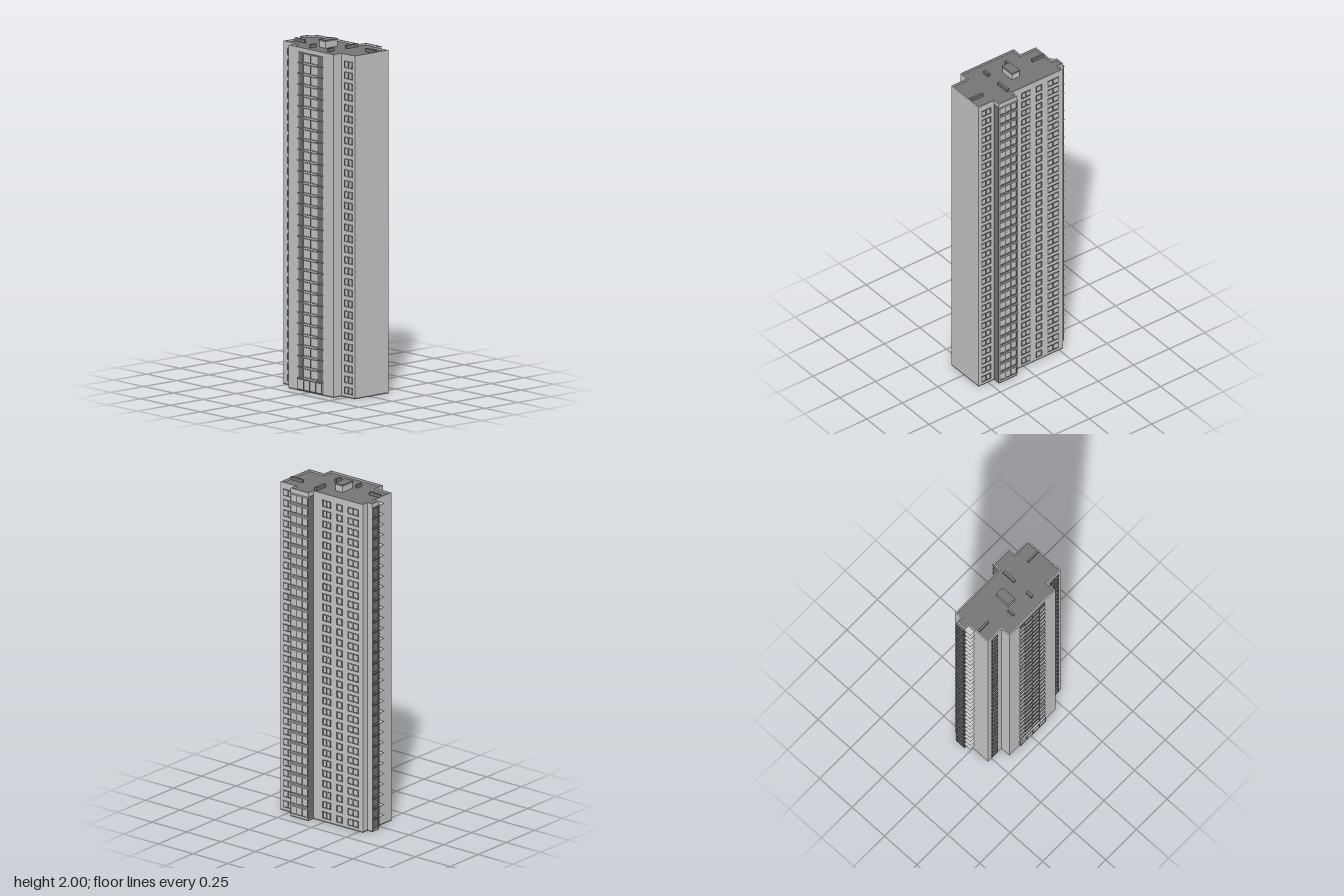
import * as THREE from 'three';
import { mergeGeometries } from 'three/addons/utils/BufferGeometryUtils.js';

const PITCH = 0.0622, ROOF = 1.955, TOP = 1.965;

export function createModel() {
  const group = new THREE.Group();
  const light = new THREE.MeshStandardMaterial({ color: 0xcccccc });
  const dark = new THREE.MeshStandardMaterial({ color: 0x777777 });

  const add = (name, geometries, material) => {
    const mesh = new THREE.Mesh(mergeGeometries(geometries), material);
    mesh.name = name;
    group.add(mesh);
  };
  // box given by its extents
  const box = (x0, x1, y0, y1, z0, z1) =>
    new THREE.BoxGeometry(x1 - x0, y1 - y0, z1 - z0)
      .translate((x0 + x1) / 2, (y0 + y1) / 2, (z0 + z1) / 2);
  const floors = (count, y0, make) =>
    Array.from({ length: count }, (_, i) => make(y0 + i * PITCH)).flat();

  // footprint as [x, -z], counter-clockwise
  const plan = [
    [-0.277, -0.117], [-0.168, -0.117], [-0.168, -0.178], [0.208, -0.178],
    [0.208, -0.117], [0.317, -0.117], [0.317, 0.137], [0.208, 0.137],
    [0.208, 0.183], [0.08, 0.183], [0.08, 0.137], [-0.277, 0.137],
    [-0.277, 0.095], [-0.31, 0.095], [-0.31, 0.035], [-0.277, 0.035],
  ].map(([x, y]) => new THREE.Vector2(x, y));
  // move every corner inwards along both neighbouring edges' normals
  const inset = (pts, d) => pts.map((p, i) => {
    const a = p.clone().sub(pts.at(i - 1)).normalize();
    const b = pts[(i + 1) % pts.length].clone().sub(p).normalize();
    return new THREE.Vector2(p.x - (a.y + b.y) * d, p.y + (a.x + b.x) * d);
  });
  const prism = (shape, y0, y1) =>
    new THREE.ExtrudeGeometry(shape, { depth: y1 - y0, bevelEnabled: false })
      .rotateX(-Math.PI / 2).translate(0, y0, 0);

  // plinth, tower, parapet and roof
  const inner = inset(plan, 0.007);
  const rim = new THREE.Shape(plan);
  rim.holes.push(new THREE.Path(inner));
  add('plinth', [prism(new THREE.Shape(plan), 0, 0.008)], dark);
  add('tower', [prism(new THREE.Shape(plan), 0.008, ROOF - 0.002)], light);
  add('parapet', [prism(rim, ROOF - 0.002, TOP)], light);
  add('roof', [prism(new THREE.Shape(inner), ROOF - 0.002, ROOF)], dark);

  // row of framed panes, centred, facing +z
  const frame = (width, height, panes, bar = 0.006) => {
    const w = width / 2, h = height / 2;
    const rect = (x0, x1, y0, y1, Type) => new Type([[x0, y0], [x1, y0], [x1, y1], [x0, y1]]
      .map(([x, y]) => new THREE.Vector2(x, y)));
    const shape = rect(-w, w, -h, h, THREE.Shape);
    const step = (width - bar) / panes;
    for (let i = 0; i < panes; i++) {
      const x = -w + bar + i * step;
      shape.holes.push(rect(x, x + step - bar, -h + bar, h - bar, THREE.Path));
    }
    return new THREE.ExtrudeGeometry(shape, { depth: 0.003, bevelEnabled: false });
  };
  // stack of windows between x0 and x1 on the wall at z
  const column = (x0, x1, z, panes, back, count = 31, y0 = 0.04, height = 0.042) =>
    floors(count, y0, y => {
      const g = frame(x1 - x0, height, panes);
      if (back) g.rotateY(Math.PI);
      return g.translate((x0 + x1) / 2, y, z);
    });

  add('frontWindows', [
    ...column(-0.248, -0.2, 0.117, 1, false),
    ...column(0.23, 0.298, 0.117, 2, false),
  ], dark);
  add('backWindows', [
    ...column(-0.246, -0.167, -0.137, 2, true),
    ...column(-0.129, -0.087, -0.137, 1, true),
    ...column(-0.046, 0.015, -0.137, 2, true),
    ...column(0.23, 0.298, -0.137, 2, true),
  ], dark);

  // central front glazing with dark bays on both sides
  add('frontGlazing', column(-0.05, 0.08, 0.178, 2, false, 30, 0.105, 0.055), dark);
  add('frontBays', [
    box(-0.085, -0.05, 0.07, 1.937, 0.17, 0.18),
    box(0.08, 0.12, 0.07, 1.937, 0.17, 0.18),
    box(-0.085, 0.12, 1.937, 1.94, 0.17, 0.183),
  ], dark);
  add('frontBalconySlabs', floors(30, 0.073, y => [
    box(-0.087, -0.045, y, y + 0.004, 0.17, 0.188),
    box(0.075, 0.121, y, y + 0.004, 0.17, 0.188),
  ]), light);

  // entrance block with four panels
  add('entrance', [box(-0.088, 0.12, 0.008, 0.07, 0.17, 0.186)], light);
  add('entranceFrame', [frame(0.208, 0.062, 4, 0.004).translate(0.016, 0.039, 0.186)], dark);

  // rear projection: dark flanks, glazing and floor ledges
  add('rearFlanks', [
    box(0.078, 0.082, 0.01, 1.94, -0.1825, -0.13),
    box(0.206, 0.21, 0.01, 1.94, -0.1825, -0.13),
  ], dark);
  add('rearGlazing', column(0.082, 0.206, -0.183, 3, true, 31, 0.042, 0.052), dark);
  add('rearLedges', floors(31, 0.068, y => box(0.078, 0.21, y, y + 0.004, -0.19, -0.18)), light);

  // side projection: dark faces, ledges and balconies
  add('sideBay', [box(-0.3115, -0.28, 0.01, 1.94, -0.0945, -0.0335)], dark);
  add('sideWindows', floors(31, 0.042, y =>
    frame(0.058, 0.05, 2).rotateY(-Math.PI / 2).translate(-0.3115, y, -0.065)), dark);
  add('sideLedges', floors(31, 0.071, y => box(-0.32, -0.31, y, y + 0.003, -0.095, -0.034)), dark);
  add('sideBalconies', floors(31, 0.071, y => box(-0.312, -0.277, y, y + 0.002, -0.035, 0.013)), light);

  // roof housing, cap and vents
  add('roofHousing', [box(-0.047, 0.004, ROOF, 1.99, -0.034, 0.055)], light);
  add('roofCap', [box(-0.05, 0.007, 1.99, 2, -0.037, 0.058)], dark);
  add('roofVents', [
    [0.081, 0.096, -0.107, -0.022], [0.225, 0.31, -0.058, -0.045],
    [-0.27, -0.187, 0.028, 0.04], [-0.068, -0.055, 0.07, 0.112],
    [0.081, 0.096, 0.07, 0.112],
  ].map(([x0, x1, z0, z1]) => box(x0, x1, ROOF, 1.974, z0, z1)), dark);

  return group;
}
